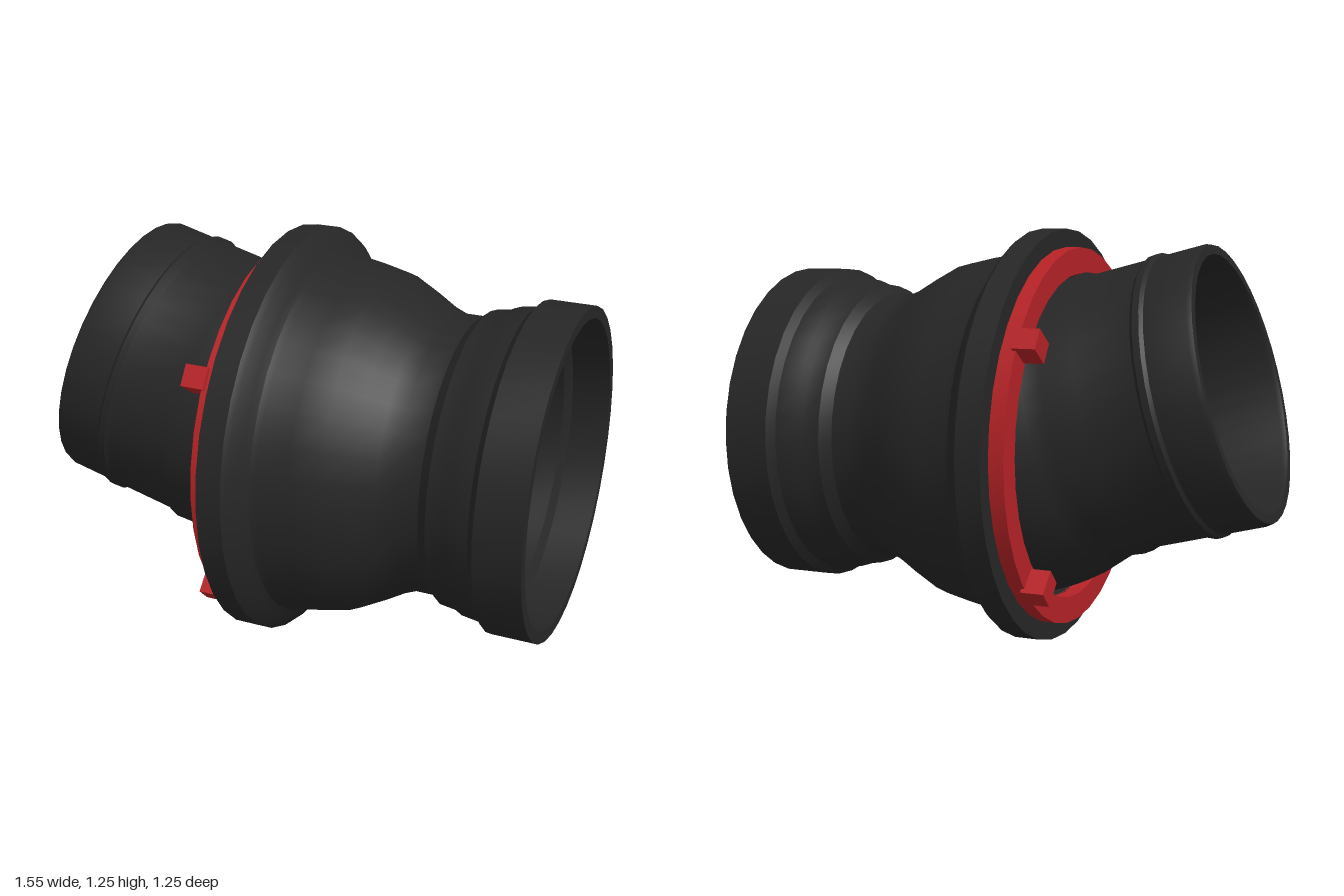
import * as THREE from 'three';
import { toCreasedNormals } from 'three/addons/utils/BufferGeometryUtils.js';

const black = new THREE.MeshStandardMaterial({ color: 0x262626 });
black.name = 'black rubber';
const red = new THREE.MeshStandardMaterial({ color: 0xb52226 });
red.name = 'red';

const AXIS_Y = 1.375;
const SEGMENTS = 36;

// Closed ring turned from [position along axis, radius] pairs: outside upward, then inside downward.
function turned(name, profile, material, angle) {
  const points = [...profile, profile[0]].map(([t, r]) => new THREE.Vector2(r, t));
  const geometry = toCreasedNormals(new THREE.LatheGeometry(points, SEGMENTS), 0.5);
  geometry.rotateZ(angle);
  const mesh = new THREE.Mesh(geometry, material);
  mesh.name = name;
  return mesh;
}

// Points on a sphere around the pivot, listed at the given axial positions.
const sphere = (radius, ts) => ts.map((t) => [t, Math.sqrt(radius * radius - t * t)]);

export function createModel() {
  const model = new THREE.Group();
  model.name = 'ballJointCoupling';
  const joint = new THREE.Group();
  joint.name = 'joint';
  joint.position.y = AXIS_Y;
  model.add(joint);

  // Socket body: flange, bell, neck and stepped hose collar
  joint.add(turned('socketBody', [
    [-0.115, 0.625], [-0.04, 0.625], [-0.025, 0.612], [0, 0.575], [0.015, 0.557], [0.035, 0.55],
    [0.12, 0.535], [0.2, 0.517], [0.28, 0.475], [0.34, 0.44], [0.39, 0.42],
    [0.46, 0.42], [0.49, 0.445], [0.54, 0.452], [0.56, 0.463], [0.62, 0.472], [0.64, 0.495],
    [0.778, 0.495],
    [0.778, 0.46], [0.66, 0.46], [0.64, 0.43], [0.57, 0.43], [0.55, 0.41], [0.48, 0.405],
    [0.46, 0.38], [0.36, 0.38],
    ...sphere(0.505, [0.3, 0.22, 0.12, 0, -0.115]),
  ], black, -Math.PI / 2));

  // Tilted pipe with ball end, swivelled 15 degrees about the pivot
  const pipe = turned('swivelPipe', [
    ...sphere(0.49, [-0.16, -0.1, -0.04, 0.02, 0.08, 0.14, 0.2]),
    [0.255, 0.427], [0.31, 0.43], [0.345, 0.417],
    [0.525, 0.417], [0.535, 0.426], [0.555, 0.426], [0.565, 0.417],
    [0.69, 0.417], [0.704, 0.412],
    [0.704, 0.385], [0.69, 0.38], [0.24, 0.38], [0.16, 0.39], [0, 0.4], [-0.16, 0.41],
  ], black, THREE.MathUtils.degToRad(75));
  pipe.position.x = 0.01;
  joint.add(pipe);

  // Red locking ring against the flange
  joint.add(turned('lockingRing', [
    [-0.16, 0.57], [-0.11, 0.57], [-0.11, 0.492], [-0.16, 0.492],
  ], red, -Math.PI / 2));

  // Four grip tabs on the ring, mirrored front to back
  for (const side of [1, -1]) {
    for (const [name, degrees] of [['upperTab', 35], ['lowerTab', -45]]) {
      const a = THREE.MathUtils.degToRad(degrees);
      const tab = new THREE.Mesh(new THREE.BoxGeometry(0.07, 0.065, 0.08), red);
      tab.name = name;
      tab.position.set(-0.185, 0.54 * Math.sin(a), side * 0.54 * Math.cos(a));
      tab.rotation.x = -side * a;
      joint.add(tab);
    }
  }
  return model;
}
